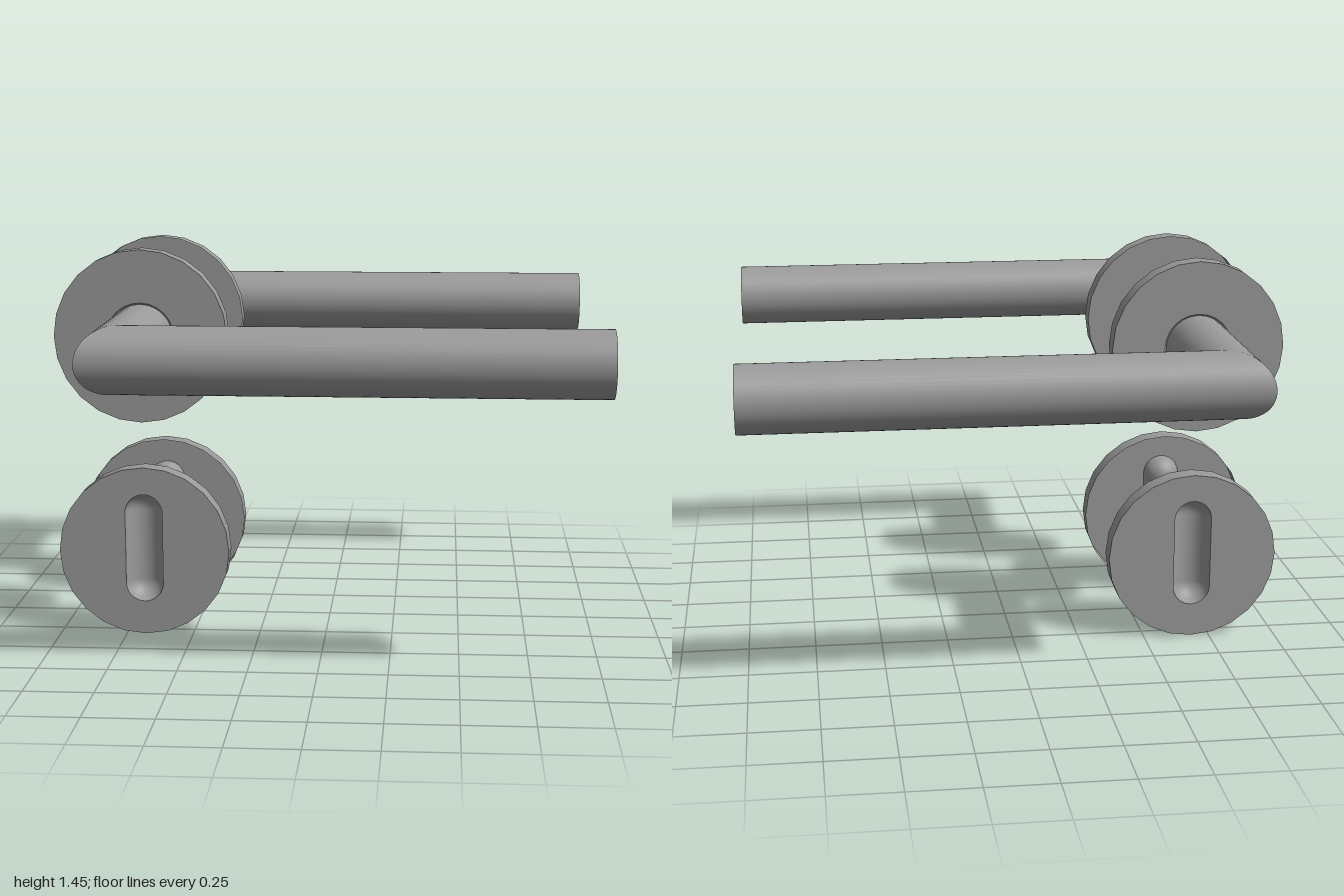
import * as THREE from 'three';

const grey = new THREE.MeshStandardMaterial({ color: 0x9a9a9a, side: THREE.DoubleSide });

const AXIS_X = -0.68, LEVER_Y = 1.132, KEY_Y = 0.32;
const ROSE_R = 0.32, INNER_Z = 0.23, OUTER_Z = 0.31;
const TUBE_R = 0.118, HOLE_R = 0.125, NECK_Z = 0.3, ELBOW_Z = 0.868, TIP_X = 1;
const SLOT_R = 0.07, SLOT_HALF = 0.135;

function named(name, geometry) {
  const mesh = new THREE.Mesh(geometry, grey);
  mesh.name = name;
  return mesh;
}

// Thin round cover: a pierced face and a rim, open towards the door
function rose(name, hole) {
  const group = new THREE.Group();
  group.name = name;
  const disc = new THREE.Shape().absarc(0, 0, ROSE_R, 0, Math.PI * 2, false);
  disc.holes.push(hole);
  group.add(named('roseFace', new THREE.ShapeGeometry(disc, 12).translate(0, 0, OUTER_Z)));

  const rim = new THREE.CylinderGeometry(ROSE_R, ROSE_R, OUTER_Z - INNER_Z, 24, 1, true);
  rim.rotateX(Math.PI / 2).translate(0, 0, (INNER_Z + OUTER_Z) / 2);
  group.add(named('roseRim', rim));
  return group;
}

// Change every vertex of a geometry by a rule
function reshape(g, rule) {
  const p = g.attributes.position, v = new THREE.Vector3();
  for (let i = 0; i < p.count; i++) {
    rule(v.fromBufferAttribute(p, i));
    p.setXYZ(i, v.x, v.y, v.z);
  }
  return g;
}

// Lever set: rose, open neck and bar, joined with a 45 degree mitre
function leverSet() {
  const group = new THREE.Group();
  const hole = new THREE.Path().absarc(0, 0, HOLE_R, 0, Math.PI * 2, true);
  group.add(rose('leverRose', hole));

  // Narrow sloping groove between the rose and the neck
  const groove = new THREE.CylinderGeometry(HOLE_R, TUBE_R, OUTER_Z - NECK_Z, 24, 1, true);
  groove.rotateX(Math.PI / 2).translate(0, 0, (OUTER_Z + NECK_Z) / 2);
  group.add(named('neckGroove', groove));

  const neck = new THREE.CylinderGeometry(TUBE_R, TUBE_R, 1, 48, 1, true);
  neck.rotateX(Math.PI / 2);
  reshape(neck, v => { v.z = v.z > 0 ? ELBOW_Z - v.x : NECK_Z; });
  group.add(named('leverNeck', neck));

  const length = TIP_X - AXIS_X;
  const bar = new THREE.CylinderGeometry(TUBE_R, TUBE_R, 1, 48, 1, true);
  bar.rotateZ(-Math.PI / 2);
  reshape(bar, v => { v.x = v.x > 0 ? length : -v.z; });
  bar.translate(0, 0, ELBOW_Z);
  group.add(named('leverBar', bar));

  const cap = new THREE.CircleGeometry(TUBE_R, 48);
  cap.rotateY(Math.PI / 2).translate(length, 0, ELBOW_Z);
  group.add(named('leverEndCap', cap));
  return group;
}

// Key set: rose with a pill-shaped slot sunk into a rounded dish
function keySet(slotY) {
  const group = new THREE.Group();
  const slot = new THREE.Path()
    .absarc(0, slotY - SLOT_HALF, SLOT_R, 0, Math.PI, true)
    .absarc(0, slotY + SLOT_HALF, SLOT_R, Math.PI, 0, true);
  slot.closePath();
  group.add(rose('keyRose', slot));

  const profile = [];
  for (const end of [-1, 1]) {
    for (let i = 0; i <= 10; i++) {
      const a = (end < 0 ? i - 10 : i) * Math.PI / 20;
      profile.push(new THREE.Vector2(
        Math.max(0, SLOT_R * Math.cos(a)), SLOT_R * Math.sin(a) + end * SLOT_HALF));
    }
  }
  const dish = new THREE.LatheGeometry(profile, 20, Math.PI / 2, Math.PI);
  dish.translate(0, slotY, OUTER_Z);
  group.add(named('keySlotDish', dish));
  return group;
}

export function createModel() {
  const model = new THREE.Group();
  model.name = 'doorHandleSet';
  // The back half is the front half turned over about the x axis
  for (const side of [1, -1]) {
    const label = side > 0 ? 'front' : 'back';
    const lever = leverSet();
    lever.name = label + 'Lever';
    lever.position.set(AXIS_X, LEVER_Y, 0);
    const key = keySet(side * 0.012);
    key.name = label + 'KeyPlate';
    key.position.set(AXIS_X, KEY_Y, 0);
    for (const part of [lever, key]) {
      if (side < 0) part.rotation.x = Math.PI;
      model.add(part);
    }
  }
  return model;
}
